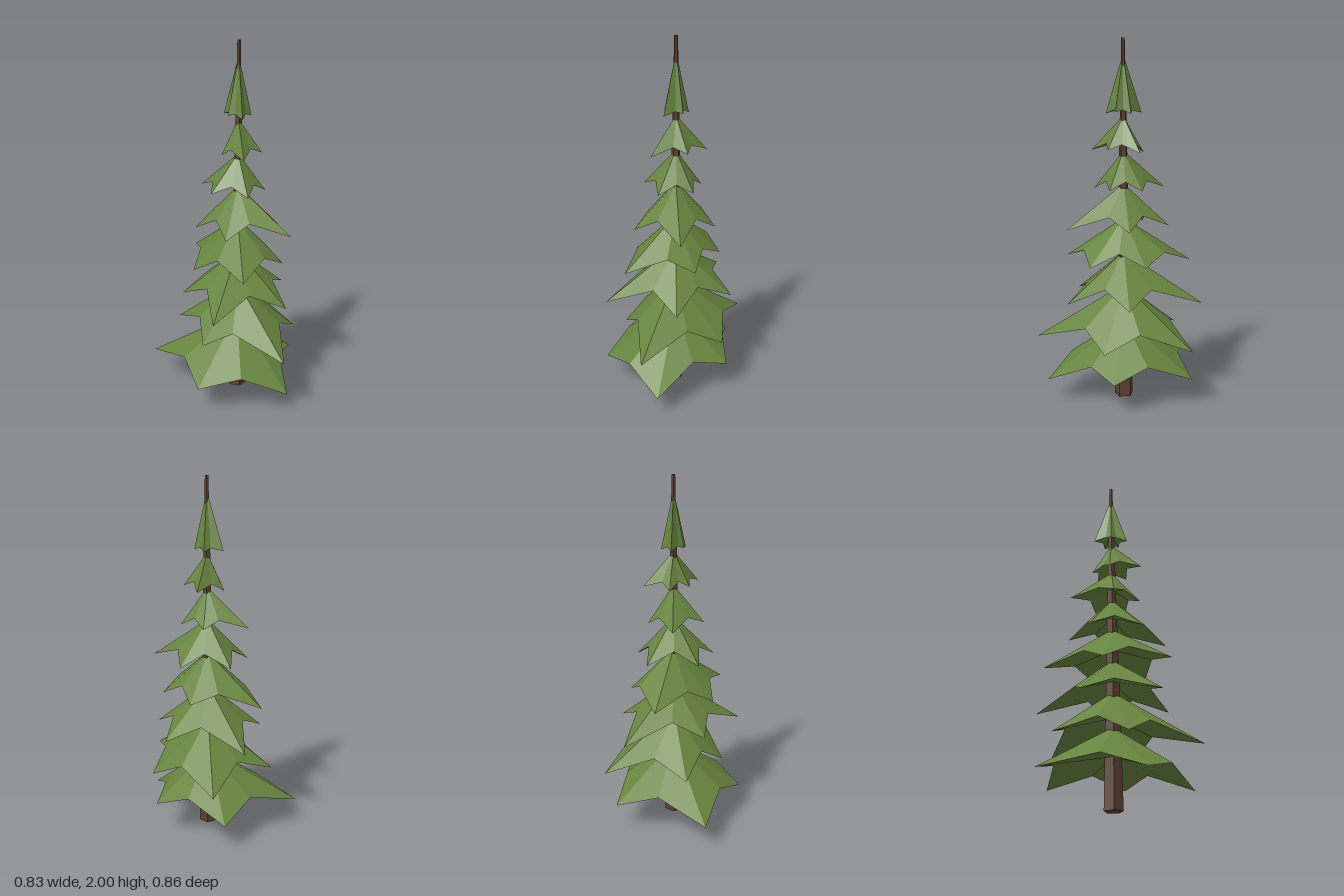
import * as THREE from 'three';

const AXIS_X = 0.09, AXIS_Z = 0.025;

// Each tier: apex height, bearing of the first branch tip in degrees (+x towards +z),
// radii and heights of five tips at 72 degree steps, radii of the notch after each tip,
// and how far the notches rise above the tips.
const TIERS = [
  { apex: 0.45, start: 46, r: [0.434, 0.402, 0.513, 0.419, 0.34], y: [0.115, 0.145, 0.145, 0.155, 0.18], notch: [0.342, 0.325, 0.315, 0.28, 0.255], rise: 0.08 },
  { apex: 0.65, start: 55, r: [0.49, 0.29, 0.375, 0.455, 0.34], y: [0.35, 0.35, 0.365, 0.34, 0.345], notch: [0.25, 0.22, 0.26, 0.275, 0.262], rise: 0.09 },
  { apex: 0.84, start: 32, r: [0.335, 0.41, 0.31, 0.445, 0.327], y: [0.57, 0.555, 0.58, 0.565, 0.58], notch: [0.215, 0.21, 0.22, 0.225, 0.2], rise: 0.085 },
  { apex: 1.03, start: 9, r: [0.26, 0.365, 0.265, 0.385, 0.25], y: [0.785, 0.785, 0.76, 0.775, 0.79], notch: [0.225, 0.21, 0.215, 0.245, 0.17], rise: 0.07 },
  { apex: 1.22, start: 29, r: [0.342, 0.245, 0.235, 0.255, 0.22], y: [0.985, 0.975, 0.98, 0.99, 0.98], notch: [0.18, 0.15, 0.15, 0.15, 0.17], rise: 0.07 },
  { apex: 1.4, start: 67, r: [0.167, 0.18, 0.25, 0.15, 0.15], y: [1.19, 1.2, 1.19, 1.19, 1.195], notch: [0.115, 0.14, 0.13, 0.1, 0.105], rise: 0.045 },
  { apex: 1.59, start: 77, r: [0.19, 0.1, 0.115, 0.17, 0.13], y: [1.4, 1.4, 1.39, 1.395, 1.41], notch: [0.09, 0.065, 0.085, 0.09, 0.095], rise: 0.035 },
  { apex: 1.92, start: 73, r: [0.1, 0.065, 0.105, 0.07, 0.07], y: [1.6, 1.61, 1.605, 1.6, 1.61], notch: [0.05, 0.052, 0.052, 0.045, 0.052], rise: 0.015 },
];

// Drooping star-shaped cone with a shallow hollow underside.
function tierGeometry({ apex, start, r, y, notch, rise }) {
  const rim = [];
  const add = (deg, radius, height) => {
    const a = THREE.MathUtils.degToRad(deg);
    rim.push([Math.cos(a) * radius, height, Math.sin(a) * radius]);
  };
  let notchHeight = 0;
  for (let i = 0; i < 5; i++) {
    const height = (y[i] + y[(i + 1) % 5]) / 2 + rise;
    add(start + 72 * i, r[i], y[i]);
    add(start + 72 * i + 36, notch[i], height);
    notchHeight += height / 5;
  }
  const hollow = notchHeight + Math.min(0.3 * (apex - notchHeight), 0.06);
  const positions = [];
  rim.forEach((p, i) => {
    const next = rim[(i + 1) % rim.length];
    positions.push(0, apex, 0, ...next, ...p);
    positions.push(0, hollow, 0, ...p, ...next);
  });
  const geometry = new THREE.BufferGeometry();
  geometry.setAttribute('position', new THREE.Float32BufferAttribute(positions, 3));
  geometry.computeVertexNormals();
  return geometry;
}

export function createModel() {
  const needles = new THREE.MeshStandardMaterial({ color: 0x67843f, flatShading: true });
  needles.name = 'needle green';
  const bark = new THREE.MeshStandardMaterial({ color: 0x5a3f2e, flatShading: true });
  bark.name = 'bark brown';

  const tree = new THREE.Group();
  tree.name = 'coniferTree';

  // Tapered five-sided trunk running through every tier
  const trunk = new THREE.Mesh(new THREE.CylinderGeometry(0.01, 0.054, 2, 5), bark);
  trunk.name = 'trunk';
  trunk.position.set(AXIS_X, 1, AXIS_Z);
  trunk.rotation.y = 0.4;
  tree.add(trunk);

  // Stacked branch tiers
  TIERS.forEach((tier, i) => {
    const mesh = new THREE.Mesh(tierGeometry(tier), needles);
    mesh.name = `branchTier${i + 1}`;
    mesh.position.set(AXIS_X, 0, AXIS_Z);
    tree.add(mesh);
  });

  return tree;
}
